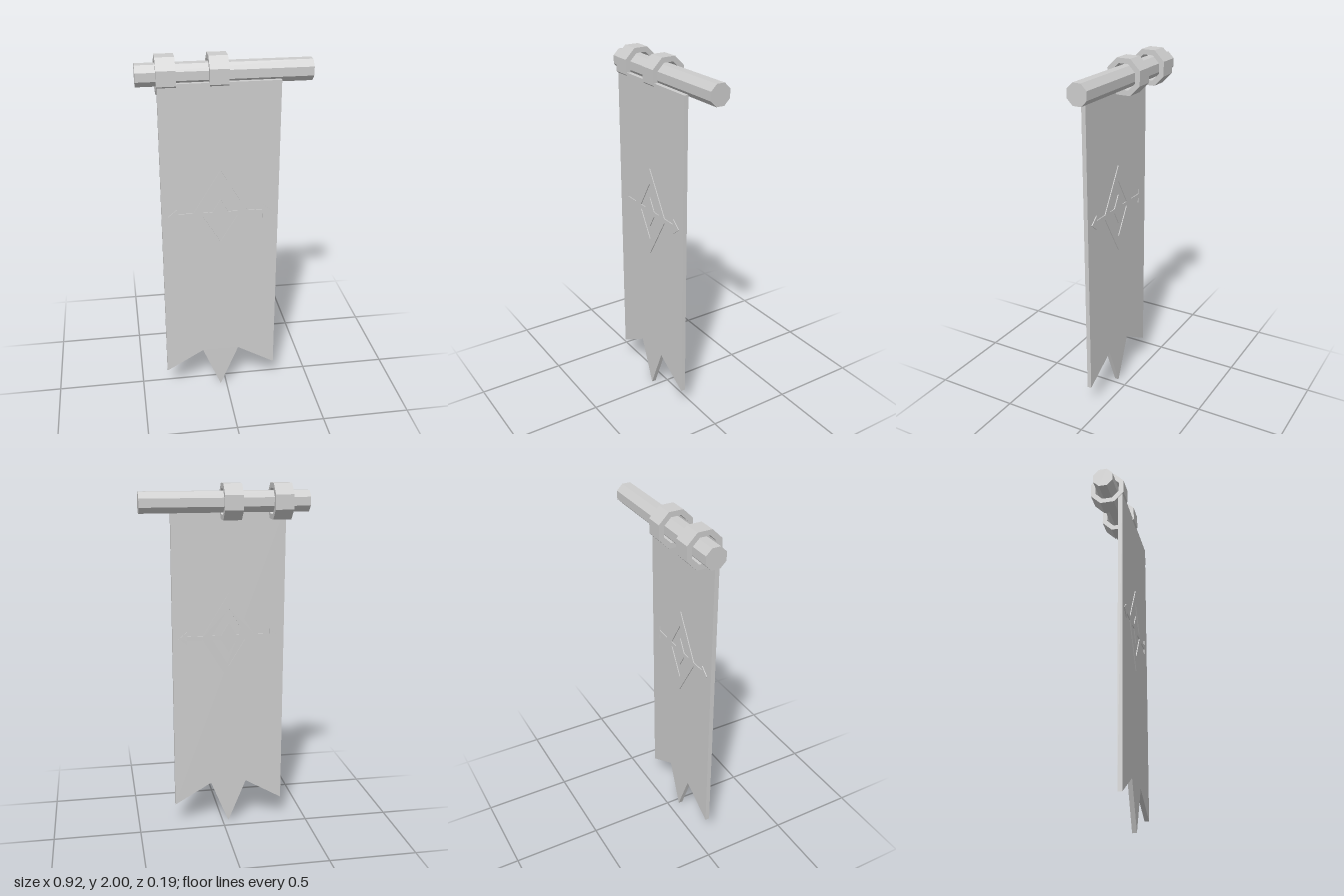
import * as THREE from 'three';

export function createModel() {
  const model = new THREE.Group();
  model.name = 'hangingBanner';
  const grey = new THREE.MeshStandardMaterial({ color: 0xcccccc, flatShading: true });
  grey.name = 'plainGrey';

  const add = (name, geometry, parent = model) => {
    const mesh = new THREE.Mesh(geometry, grey);
    mesh.name = name;
    parent.add(mesh);
    return mesh;
  };
  const points = (list) => list.map(([x, y]) => new THREE.Vector2(x, y));
  // Flat plate from an outline (and optional hole), between two depths in z
  const plate = (outline, z0, z1, hole) => {
    const shape = new THREE.Shape(points(outline));
    if (hole) shape.holes.push(new THREE.Path(points(hole)));
    return new THREE.ExtrudeGeometry(shape, { depth: z1 - z0, bevelEnabled: false }).translate(0, 0, z0);
  };
  // Octagon with flat top, given the distance from centre to a flat
  const octagon = (flat) => Array.from({ length: 8 }, (_, i) => {
    const a = (i + 0.5) * Math.PI / 4;
    const r = flat / Math.cos(Math.PI / 8);
    return [r * Math.cos(a), r * Math.sin(a)];
  });
  const diamond = (w, h) => [[w, 0], [0, h], [-w, 0], [0, -h]];

  // Rod and its two hanging rings
  const rodY = 1.905;
  add('rod', plate(octagon(0.056), -0.46, 0.46).rotateY(Math.PI / 2)).position.y = rodY;
  for (const [name, x] of [['outerRing', -0.308], ['middleRing', -0.037]]) {
    const ring = plate(octagon(0.096), -0.05, 0.05, octagon(0.068)).rotateY(Math.PI / 2);
    add(name, ring).position.set(x, rodY, 0);
  }

  // Cloth with a three-pointed lower edge
  add('cloth', plate([
    [-0.355, 1.875], [-0.355, 0.13], [-0.14, 0.255], [-0.035, 0],
    [0.07, 0.255], [0.285, 0.13], [0.285, 1.875],
  ], 0.063, 0.088));

  // Raised diamond ornament, standing out on both faces of the cloth
  const ornament = new THREE.Group();
  ornament.name = 'ornament';
  ornament.position.set(-0.035, 1.145, 0);
  model.add(ornament);
  const raised = (outline, hole) => plate(outline, 0.058, 0.093, hole);
  add('diamondFrame', raised(diamond(0.155, 0.255), diamond(0.102, 0.168)), ornament);
  add('diamondCentre', raised(diamond(0.052, 0.086)), ornament);
  const t = 0.013;
  for (const [side, s] of [['left', 1], ['right', -1]]) {
    const mirror = (list) => list.map(([x, y]) => [s * x, y]);
    add(side + 'InnerBar', raised(mirror([[0.044, -t], [0.11, -t], [0.11, t], [0.044, t]])), ornament);
    add(side + 'Arrow', raised(mirror([
      [0.147, -t], [0.235, -t], [0.235, -0.042], [0.285, 0],
      [0.235, 0.042], [0.235, t], [0.147, t],
    ])), ornament);
  }
  return model;
}
